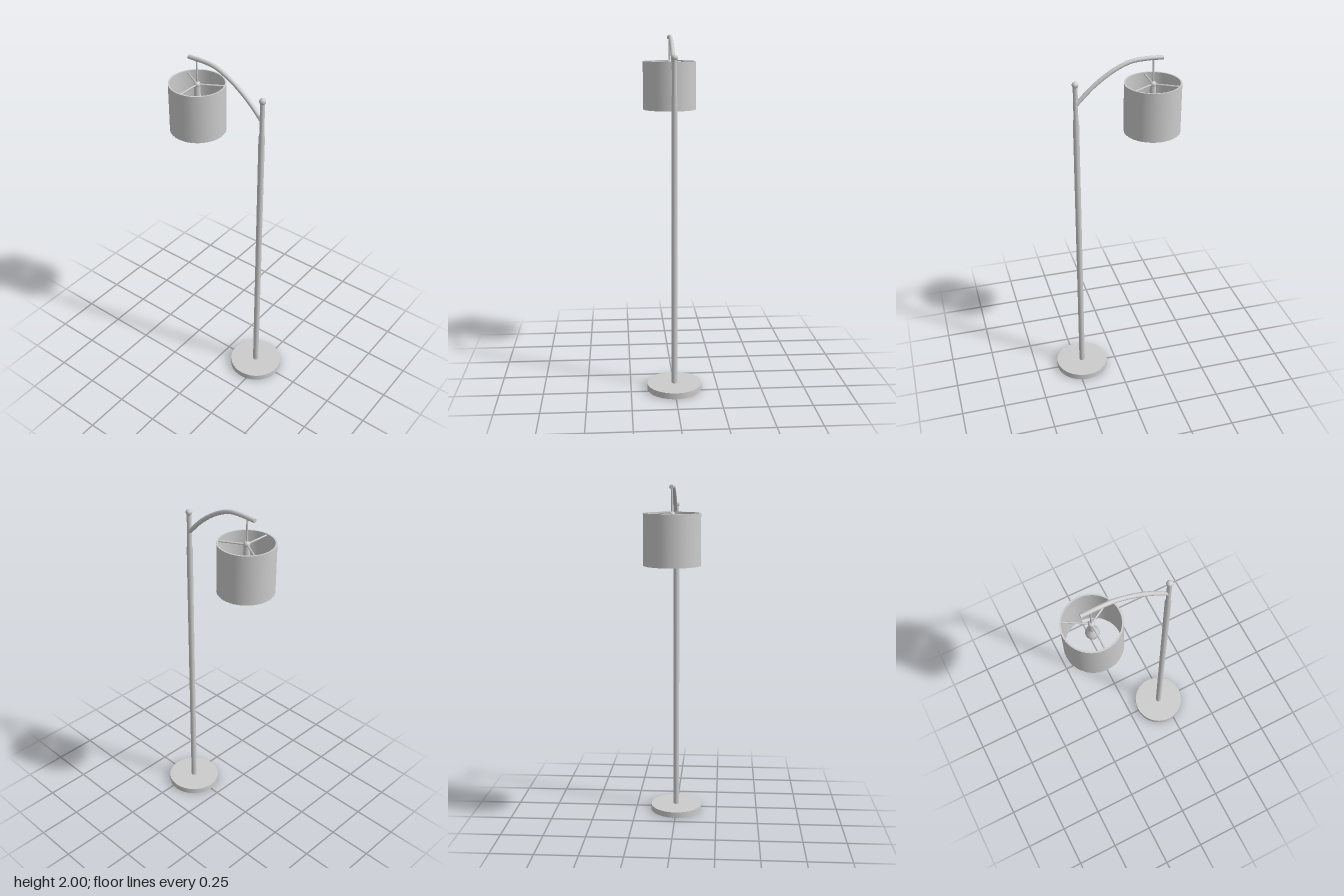
import * as THREE from 'three';

const POLE_X = 0.213, SHADE_X = -0.213;

export function createModel() {
  const lamp = new THREE.Group();
  lamp.name = 'floorLamp';
  const material = new THREE.MeshStandardMaterial({ color: 0xcccccc });

  const add = (name, geometry, x = 0, y = 0, z = 0) => {
    const mesh = new THREE.Mesh(geometry, material);
    mesh.name = name;
    mesh.position.set(x, y, z);
    lamp.add(mesh);
    return mesh;
  };
  const lathe = (points, segments) =>
    new THREE.LatheGeometry(points.map(([r, y]) => new THREE.Vector2(r, y)), segments);
  const rod = (radius, from, to, sides = 10) =>
    new THREE.TubeGeometry(new THREE.LineCurve3(new THREE.Vector3(...from), new THREE.Vector3(...to)), 1, radius, sides);

  // Weighted round foot
  add('base', new THREE.CylinderGeometry(0.156, 0.156, 0.035, 40), POLE_X, 0.0175);

  // Pole: thick lower tube stepping into a slimmer top
  add('pole', lathe([[0.017, 0.03], [0.017, 1.67], [0.013, 1.69], [0.013, 1.88]], 20), POLE_X);
  add('finial', new THREE.SphereGeometry(0.018, 20, 14), POLE_X, 1.882);

  // Curved arm, with flat caps at both ends
  const path = new THREE.CatmullRomCurve3([
    [0.213, 1.768], [0.11, 1.868], [0, 1.943], [-0.09, 1.98], [-0.17, 1.988], [-0.265, 1.986],
  ].map(([x, y]) => new THREE.Vector3(x, y, 0)));
  add('arm', new THREE.TubeGeometry(path, 36, 0.012, 14));
  for (const t of [0, 1]) {
    const p = path.getPoint(t);
    const cap = add('armCap', new THREE.CircleGeometry(0.012, 14), p.x, p.y, 0);
    cap.lookAt(p.clone().addScaledVector(path.getTangent(t), t ? 1 : -1));
  }

  // Hanging rod, hub, socket and bulb
  add('hangingRod', new THREE.CylinderGeometry(0.005, 0.005, 0.145, 10), SHADE_X, 1.915);
  add('hub', new THREE.SphereGeometry(0.018, 16, 12), SHADE_X, 1.84);
  add('socket', new THREE.CylinderGeometry(0.016, 0.018, 0.06, 16), SHADE_X, 1.805);
  add('bulb', lathe([
    [0, 1.693], [0.018, 1.698], [0.032, 1.712], [0.037, 1.73], [0.033, 1.75], [0.022, 1.768], [0.015, 1.785],
  ], 20), SHADE_X);

  // Three spokes carrying the shade
  for (let i = 0; i < 3; i++) {
    const a = Math.PI / 2 + (i * 2 * Math.PI) / 3;
    add('spoke', rod(0.005, [0, 0, 0], [0.15 * Math.cos(a), 0, 0.15 * Math.sin(a)]), SHADE_X, 1.84);
  }

  // Open drum shade with a thin wall, extruded downwards as a ring
  const ring = new THREE.Shape().absarc(0, 0, 0.156, 0, Math.PI * 2);
  ring.holes.push(new THREE.Path().absarc(0, 0, 0.147, 0, Math.PI * 2, true));
  const rim = new THREE.ExtrudeGeometry(ring, { depth: 0.002, bevelEnabled: false, curveSegments: 36 });
  rim.rotateX(-Math.PI / 2);
  add('shadeTopRim', rim, SHADE_X, 1.848);
  add('shadeBottomRim', rim, SHADE_X, 1.57);
  add('shadeOuter', lathe([[0.156, 1.57], [0.156, 1.85]], 36), SHADE_X);
  add('shadeInner', lathe([[0.147, 1.85], [0.147, 1.57]], 36), SHADE_X);

  return lamp;
}
